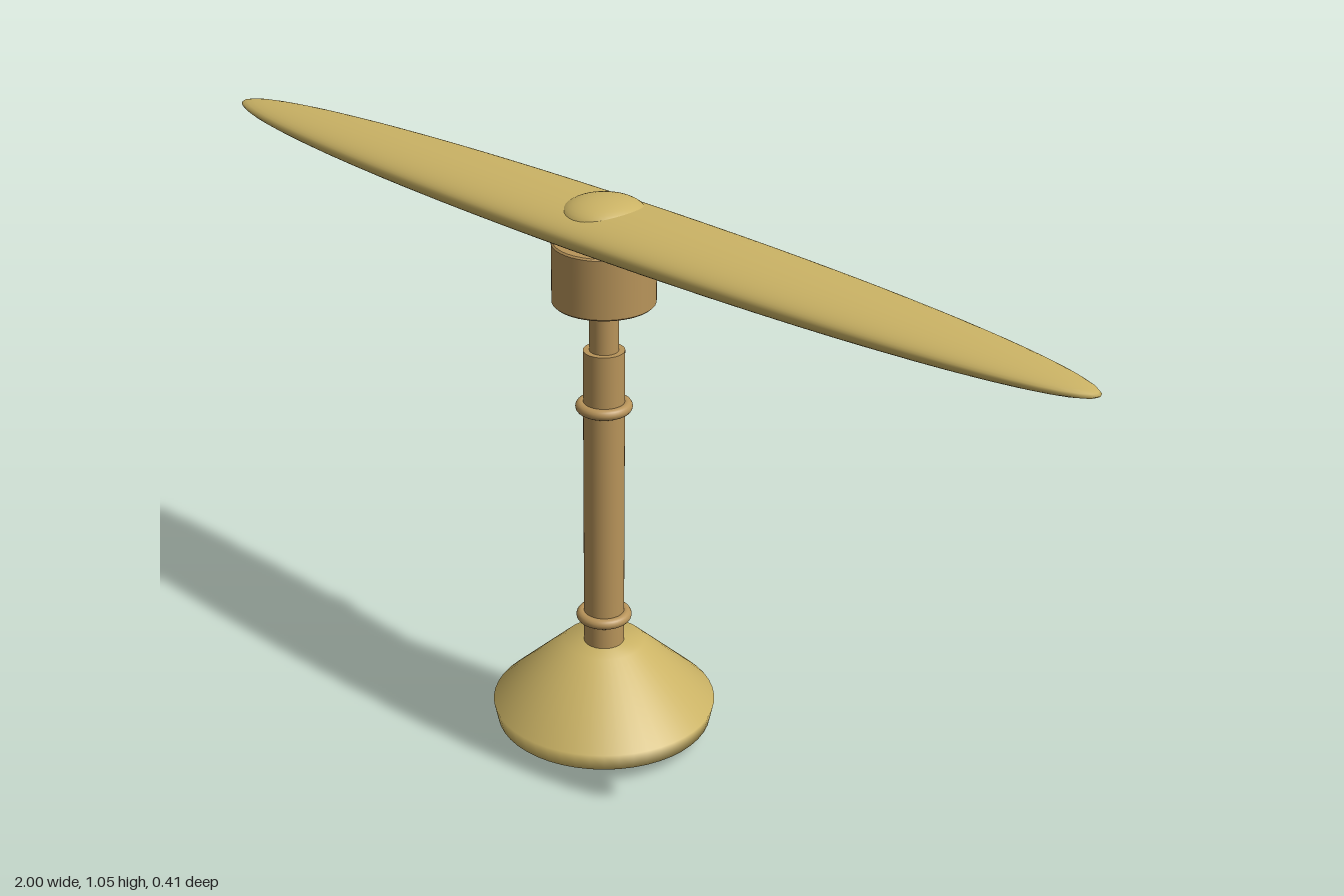
import * as THREE from 'three';

export function createModel() {
  const group = new THREE.Group();
  const gold = new THREE.MeshStandardMaterial({ color: 0xcbb365 });
  const tan = new THREE.MeshStandardMaterial({ color: 0xb8945a });

  function add(name, geometry, material, y = 0) {
    const mesh = new THREE.Mesh(geometry, material);
    mesh.name = name;
    mesh.position.y = y;
    group.add(mesh);
    return mesh;
  }
  // Upright cylinder between two heights
  const post = (name, r, y0, y1) =>
    add(name, new THREE.CylinderGeometry(r, r, y1 - y0, 40), tan, (y0 + y1) / 2);

  // Flared base, with a shallow recess underneath
  const profile = [
    [0, 0.025], [0.07, 0.02], [0.082, 0], [0.155, 0], [0.2, 0.03],
    [0.207, 0.064], [0.075, 0.187], [0, 0.187],
  ].map(([r, y]) => new THREE.Vector2(r, y));
  add('base', new THREE.LatheGeometry(profile, 48), gold);

  // Column, neck and hub
  post('column', 0.037, 0.18, 0.77);
  post('neck', 0.026, 0.765, 0.865);
  const hubProfile = [
    [0, 0.86], [0.088, 0.86], [0.088, 0.86], [0.091, 0.863], [0.091, 0.863],
    [0.091, 0.969], [0.091, 0.969], [0.088, 0.972], [0.088, 0.972], [0, 0.972],
  ].map(([r, y]) => new THREE.Vector2(r, y));
  add('hub', new THREE.LatheGeometry(hubProfile, 48), tan);

  // Collar rings on the column
  for (const [name, y] of [['lowerRing', 0.241], ['upperRing', 0.663]]) {
    const ring = new THREE.TorusGeometry(0.041, 0.01, 16, 48);
    ring.rotateX(Math.PI / 2);
    add(name, ring, tan, y);
  }

  // Long flattened blade and the small cap on top of it
  add('blade', new THREE.SphereGeometry(1, 64, 32), gold, 1.001).scale.set(1, 0.037, 0.105);
  add('cap', new THREE.SphereGeometry(1, 40, 20), gold, 1.02).scale.set(0.075, 0.032, 0.075);

  return group;
}
